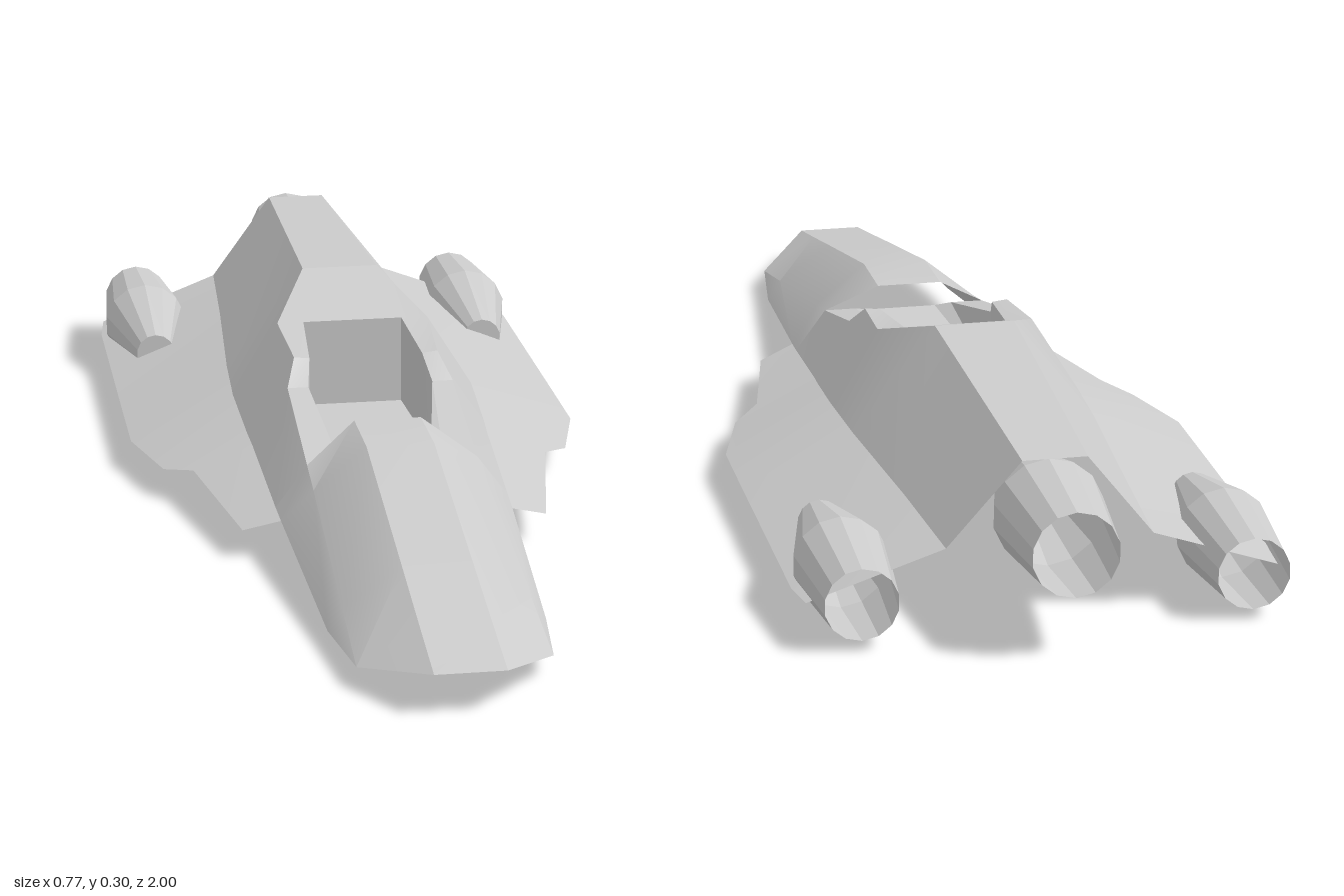
import * as THREE from 'three';
import { toCreasedNormals } from 'three/addons/utils/BufferGeometryUtils.js';

const skin = new THREE.MeshStandardMaterial({ color: 0xcccccc, side: THREE.DoubleSide });
const facets = new THREE.MeshStandardMaterial({ color: 0xcccccc, side: THREE.DoubleSide, flatShading: true });

const flip = (rail) => rail.map(([x, y, z]) => [-x, y, z]);

// Quads between two rails that run from front to back, a lying on the -x side of b
function strip(out, a, b) {
  for (let i = 0; i < a.length - 1; i++) {
    for (const tri of [[a[i], b[i], b[i + 1]], [a[i], b[i + 1], a[i + 1]]]) {
      const t = new THREE.Triangle(...tri.map((p) => new THREE.Vector3(...p)));
      if (t.getArea() > 1e-7) out.push(...tri.flat());
    }
  }
}

function both(out, a, b) {
  strip(out, a, b);
  strip(out, flip(b), flip(a));
}

function across(out, rail) {
  strip(out, flip(rail), rail);
}

function shell(name, positions, crease) {
  const geo = new THREE.BufferGeometry();
  geo.setAttribute('position', new THREE.Float32BufferAttribute(positions, 3));
  geo.computeVertexNormals();
  const mesh = new THREE.Mesh(toCreasedNormals(geo, crease), skin);
  mesh.name = name;
  return mesh;
}

// Tapered pod, closed at the front and open at the back
function engine(name, x, y, back, mid, front, rBack, rMid, rFront) {
  const profile = [[rBack, back], [rMid, mid], [rFront, front], [0, front]];
  const geo = new THREE.LatheGeometry(profile.map(([r, z]) => new THREE.Vector2(r, z)), 14);
  geo.rotateX(Math.PI / 2);
  const mesh = new THREE.Mesh(geo, facets);
  mesh.position.set(x, y, 0);
  mesh.name = name;
  return mesh;
}

export function createModel() {
  const group = new THREE.Group();

  // Nose: flat top, sloping panels and lower sides
  const noseTop = [[0.055, 0.07, 1], [0.055, 0.096, 0.87], [0.055, 0.129, 0.71], [0.055, 0.2, 0.36], [0.055, 0.2, 0.23]];
  const noseShoulder = [[0.055, 0.07, 1], [0.15, 0.035, 0.87], [0.147, 0.065, 0.71], [0.141, 0.13, 0.36], [0.14, 0.145, 0.28]];
  const noseEdge = [[0.055, 0.07, 1], [0.15, 0.035, 0.87], [0.17, 0.03, 0.71], [0.19, 0.07, 0.33], [0.192, 0.075, 0.28]];
  const nose = [];
  across(nose, noseTop);
  both(nose, noseTop, noseShoulder);
  both(nose, noseShoulder, noseEdge);
  group.add(shell('nose', nose, 0.4));

  // Hull sides from the cockpit rim to the tail
  const rim = [[0.14, 0.145, 0.28], [0.14, 0.2, 0.05], [0.122, 0.237, 0], [0.13, 0.25, -0.15], [0.065, 0.3, -0.3], [0.057, 0.284, -0.6], [0.05, 0.27, -0.86]];
  const root = [[0.192, 0.075, 0.28], [0.2, 0.102, 0.05], [0.203, 0.108, 0], [0.208, 0.125, -0.15], [0.2, 0.127, -0.3], [0.176, 0.13, -0.6], [0.16, 0.13, -0.835]];
  const hull = [];
  both(hull, rim, root);
  across(hull, rim.slice(4));
  group.add(shell('hull', hull, 0.45));

  // Deck around the cockpit opening
  const opening = [[0.085, 0.145, 0.28], [0.105, 0.2, 0.05], [0.096, 0.234, 0], [0.085, 0.25, -0.15]];
  const deckEnd = [0.065, 0.3, -0.3];
  const deck = [];
  both(deck, [...opening, deckEnd], rim.slice(0, 5));
  across(deck, [opening[3], deckEnd]);
  group.add(shell('cockpitDeck', deck, 0.3));

  // Cockpit tub hanging inside the hull
  const floor = [[0.06, 0.135, 0.3], [0.1, 0.095, 0.05], [0.095, 0.095, 0], [0.085, 0.1, -0.15]];
  const tub = [];
  across(tub, floor);
  both(tub, floor, opening);
  across(tub, [floor[3], opening[3]]);
  group.add(shell('cockpitTub', tub, 0.3));

  // Thin drooping wings
  const wingRoot = [[0.19, 0.07, 0.33], ...root];
  const wingTip = [[0.19, 0.07, 0.33], [0.25, 0.05, 0.31], [0.3, 0.063, 0.05], [0.345, 0.05, 0], [0.385, 0.05, -0.15], [0.384, 0.05, -0.3], [0.38, 0.05, -0.75], [0.37, 0.054, -0.82]];
  const inner = [wingRoot[0], wingRoot[1], ...wingRoot.slice(2)];
  const wings = [];
  both(wings, inner, wingTip);
  group.add(shell('wings', wings, 0.4));

  // Engines
  for (const [name, s] of [['leftEngine', 1], ['rightEngine', -1]]) {
    group.add(engine(name, 0.3 * s, 0.077, -0.9, -0.725, -0.545, 0.057, 0.074, 0.034));
  }
  group.add(engine('centreEngine', 0, 0.17, -1, -0.82, -0.64, 0.067, 0.086, 0.04));

  return group;
}
